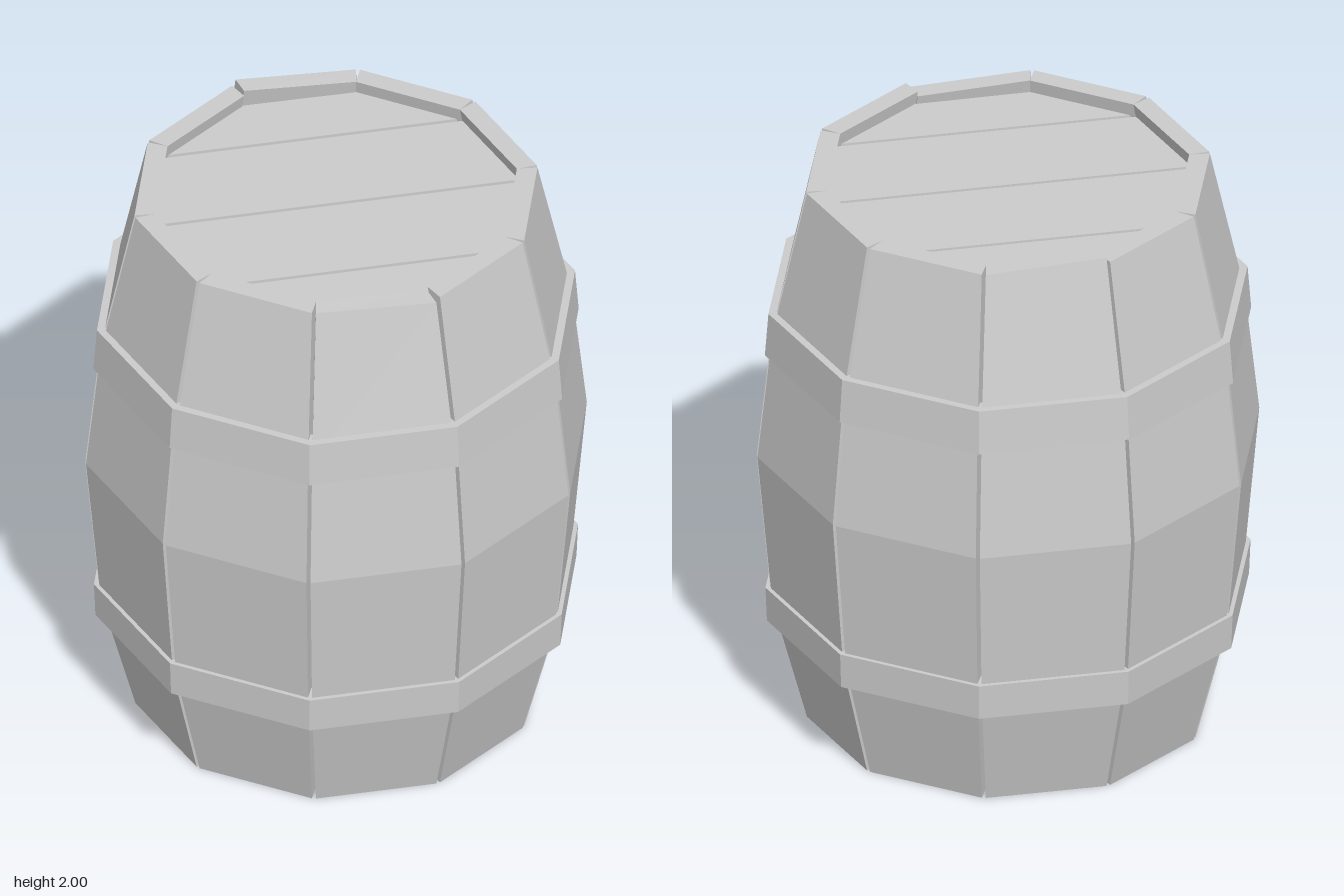
import * as THREE from 'three';

const SIDES = 10;
const HALF = Math.PI / SIDES;
const mat = () => new THREE.MeshStandardMaterial({ color: 0xcccccc, flatShading: true, side: THREE.DoubleSide });

// Stave profile: height, outer corner radius, inner corner radius
const PROFILE = [
  [0, 0.675, 0.605],
  [0.44, 0.79, 0.72],
  [1, 0.84, 0.77],
  [1.46, 0.79, 0.72],
  [1.98, 0.675, 0.605],
];

// One stave facing +z; its outer edges are pulled in so a V-shaped seam is left.
// tilt = height change of the top at the [-x, +x] edge.
function staveGeometry(tilt) {
  const pos = [], index = [];
  PROFILE.forEach(([y, outer, inner], i) => {
    const top = i === PROFILE.length - 1;
    const yl = y + (top ? tilt[0] : 0), yr = y + (top ? tilt[1] : 0);
    const zo = outer * Math.cos(HALF), xo = outer * Math.sin(HALF) - 0.007;
    const zi = inner * Math.cos(HALF), xi = inner * Math.sin(HALF);
    pos.push(-xo, yl, zo, xo, yr, zo, xi, yr, zi, -xi, yl, zi);
  });
  const quad = (a, b, c, d) => index.push(a, b, c, a, c, d);
  for (let i = 0; i < PROFILE.length - 1; i++) {
    for (let k = 0; k < 4; k++) {
      const a = i * 4 + k, b = i * 4 + (k + 1) % 4;
      quad(a, b, b + 4, a + 4);
    }
  }
  const t = (PROFILE.length - 1) * 4;
  quad(3, 2, 1, 0);
  quad(t, t + 1, t + 2, t + 3);
  const geo = new THREE.BufferGeometry();
  geo.setAttribute('position', new THREE.Float32BufferAttribute(pos, 3));
  geo.setIndex(index);
  geo.computeVertexNormals();
  return geo;
}

// Flat ten-sided iron band
function hoop(y0, y1, r0, r1) {
  const pts = [[0.74, y0], [r0, y0], [r1, y1], [0.74, y1], [0.74, y0]]
    .map(([r, y]) => new THREE.Vector2(r, y));
  return new THREE.Mesh(new THREE.LatheGeometry(pts, SIDES, HALF), mat());
}

// Round end made of four planks over a thin backing disc; dir = +1 faces up
function head(name, y, dir) {
  const group = new THREE.Group();
  group.name = name;
  const R = 0.625, thick = 0.025;
  const backing = new THREE.Mesh(new THREE.CylinderGeometry(R, R, 0.03, SIDES, 1, false, HALF), mat());
  backing.name = 'headBacking';
  backing.position.y = y - dir * (thick + 0.015);
  group.add(backing);

  // Plank joints run through the corners of the ten-sided outline
  const rows = [-2, -1, 0, 1, 2].map(k => [R * Math.sin(k * 2 * HALF), R * Math.cos(k * 2 * HALF)]);
  for (let i = 0; i < 4; i++) {
    const [z0, x0] = rows[i], [z1, x1] = rows[i + 1];
    const a = z0 + (i > 0 ? 0.007 : 0), b = z1 - (i < 3 ? 0.007 : 0);
    const shape = new THREE.Shape([[-x0, a], [x0, a], [x1, b], [-x1, b]].map(p => new THREE.Vector2(...p)));
    const geo = new THREE.ExtrudeGeometry(shape, { depth: thick, bevelEnabled: false });
    geo.rotateX(Math.PI / 2);
    const plank = new THREE.Mesh(geo, mat());
    plank.name = 'headPlank';
    plank.position.y = dir > 0 ? y : y + thick;
    group.add(plank);
  }
  return group;
}

export function createModel() {
  const barrel = new THREE.Group();
  barrel.name = 'barrel';

  // Staves; the front and back ones have slightly uneven tops
  const staves = new THREE.Group();
  staves.name = 'staves';
  const tilts = { 0: [0, -0.018], 5: [0, 0.02] };
  for (let i = 0; i < SIDES; i++) {
    const stave = new THREE.Mesh(staveGeometry(tilts[i] || [0, 0]), mat());
    stave.name = 'stave';
    stave.rotation.y = i * 2 * HALF;
    staves.add(stave);
  }
  barrel.add(staves);

  // Hoops
  const lower = hoop(0.375, 0.5, 0.805, 0.81);
  lower.name = 'lowerHoop';
  const upper = hoop(1.38, 1.535, 0.812, 0.8);
  upper.name = 'upperHoop';
  barrel.add(lower, upper);

  // Recessed ends
  barrel.add(head('topHead', 1.93, 1), head('bottomHead', 0.05, -1));
  return barrel;
}
